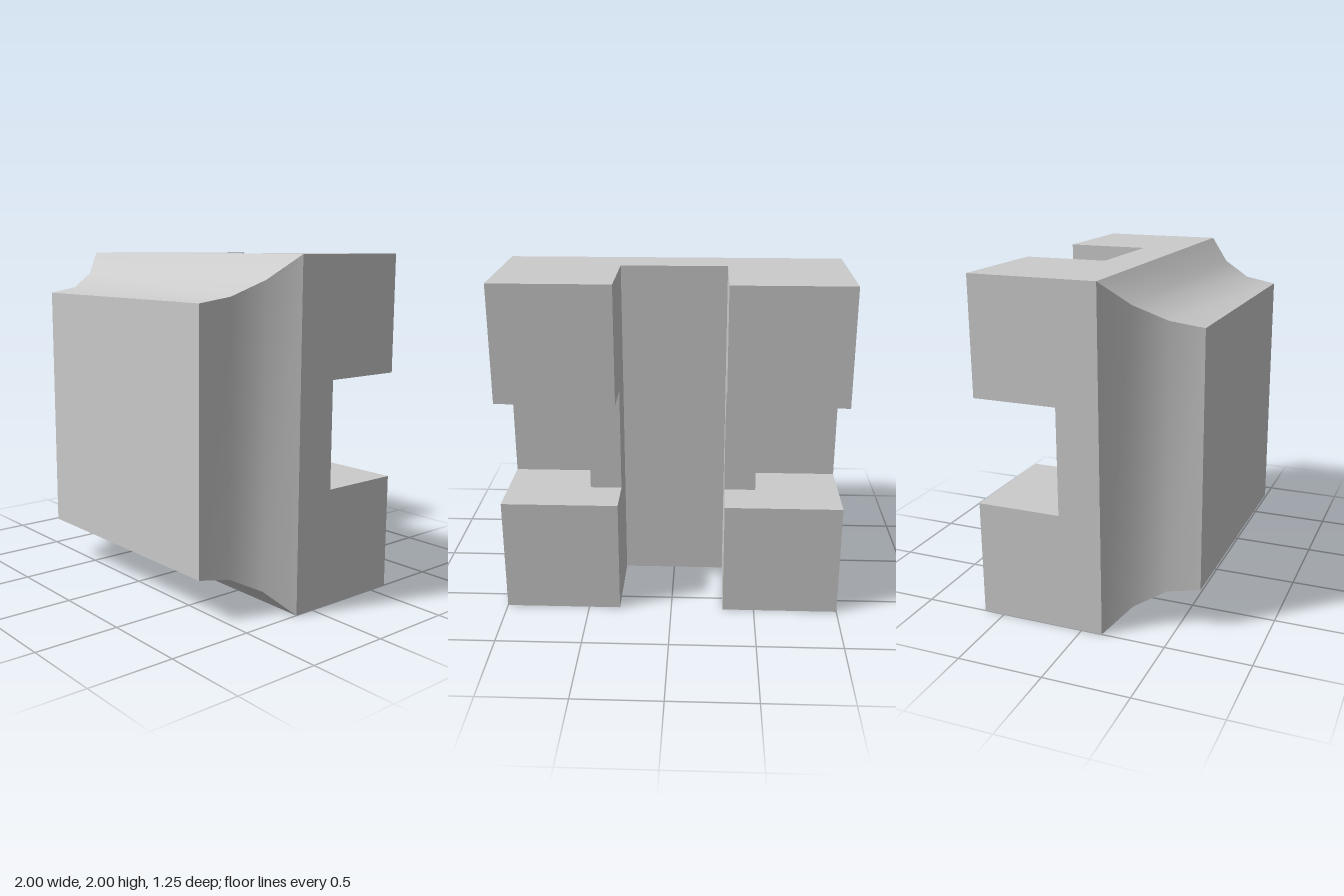
import * as THREE from 'three';

const material = new THREE.MeshStandardMaterial({ color: 0xcccccc });

function add(parent, name, geometry, x = 0, y = 0, z = 0) {
  const mesh = new THREE.Mesh(geometry, material);
  mesh.name = name;
  mesh.position.set(x, y, z);
  parent.add(mesh);
  return mesh;
}

// One mitred side of the cove: a concave arc running from the slab edge to the front face
function coveSide() {
  const radius = 0.625, sweep = Math.asin(0.8), steps = 3;
  const positions = [], index = [];
  for (let i = 0; i <= steps; i++) {
    const a = sweep * (1 - i / steps);
    const half = 0.75 + radius * (1 - Math.cos(a));
    const z = 0.625 - radius * Math.sin(a);
    positions.push(-half, half, z, half, half, z);
    if (i < steps) {
      const k = i * 2;
      index.push(k, k + 2, k + 3, k, k + 3, k + 1);
    }
  }
  const geometry = new THREE.BufferGeometry();
  geometry.setAttribute('position', new THREE.Float32BufferAttribute(positions, 3));
  geometry.setIndex(index);
  geometry.computeVertexNormals();
  return geometry;
}

export function createModel() {
  const model = new THREE.Group();
  model.name = 'covedBlock';
  const body = new THREE.Group();
  body.name = 'body';
  body.position.y = 1;
  model.add(body);

  // Square slab in the middle
  add(body, 'slab', new THREE.BoxGeometry(2, 2, 0.25));

  // Front panel with four coved sides
  add(body, 'frontPanel', new THREE.PlaneGeometry(1.5, 1.5), 0, 0, 0.625);
  const cove = coveSide();
  ['coveTop', 'coveRight', 'coveBottom', 'coveLeft'].forEach((name, i) => {
    add(body, name, cove).rotation.z = i * Math.PI / 2;
  });

  // Four corner lugs at the back, each pair joined by a thin rib
  const lug = new THREE.BoxGeometry(0.6875, 0.6875, 0.5);
  const rib = new THREE.BoxGeometry(0.1875, 0.625, 0.25);
  for (const [side, sx] of [['left', 1], ['right', -1]]) {
    for (const [level, sy] of [['Upper', 1], ['Lower', -1]]) {
      add(body, side + level + 'Lug', lug, sx * 0.65625, sy * 0.65625, -0.375);
    }
    add(body, side + 'Rib', rib, sx * 0.40625, 0, -0.25);
  }

  return model;
}
